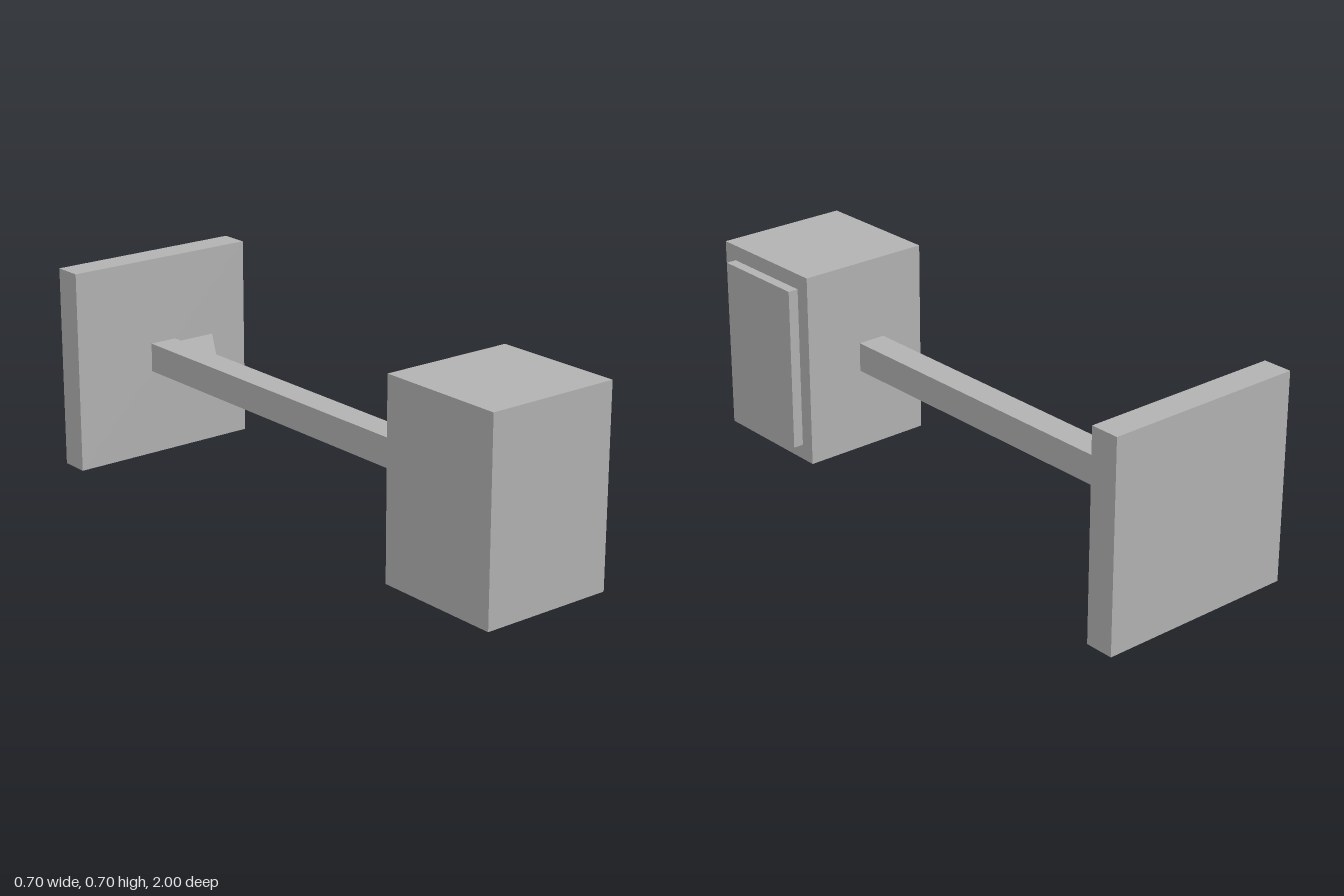
import * as THREE from 'three';

const grey = new THREE.MeshStandardMaterial({ color: 0xb2b2b2 });
grey.name = 'grey';

// Box given by its lower and upper limits on each axis
function block(name, [x0, x1], [y0, y1], [z0, z1]) {
  const geometry = new THREE.BoxGeometry(x1 - x0, y1 - y0, z1 - z0);
  const mesh = new THREE.Mesh(geometry, grey);
  mesh.position.set((x0 + x1) / 2, (y0 + y1) / 2, (z0 + z1) / 2);
  mesh.name = name;
  return mesh;
}

export function createModel() {
  const model = new THREE.Group();
  model.name = 'wallBracketWithBox';

  model.add(
    block('wallPlate', [-0.35, 0.35], [0, 0.7], [-1, -0.9]),
    block('arm', [-0.05, 0.05], [0.3, 0.4], [-0.9, 0.545]),
    block('housing', [-0.21, 0.26], [0.018, 0.685], [0.545, 1]),
    block('sidePanel', [0.26, 0.296], [0.071, 0.632], [0.597, 0.946]),
  );

  // Triangular brace between the arm and the wall plate, drawn in x and z
  const triangle = new THREE.Shape([
    new THREE.Vector2(0.05, -0.9),
    new THREE.Vector2(0.21, -0.9),
    new THREE.Vector2(0.05, -0.655),
  ]);
  const braceGeometry = new THREE.ExtrudeGeometry(triangle, { depth: 0.07, bevelEnabled: false });
  braceGeometry.rotateX(Math.PI / 2);
  const brace = new THREE.Mesh(braceGeometry, grey);
  brace.position.y = 0.387;
  brace.name = 'brace';
  model.add(brace);

  return model;
}
